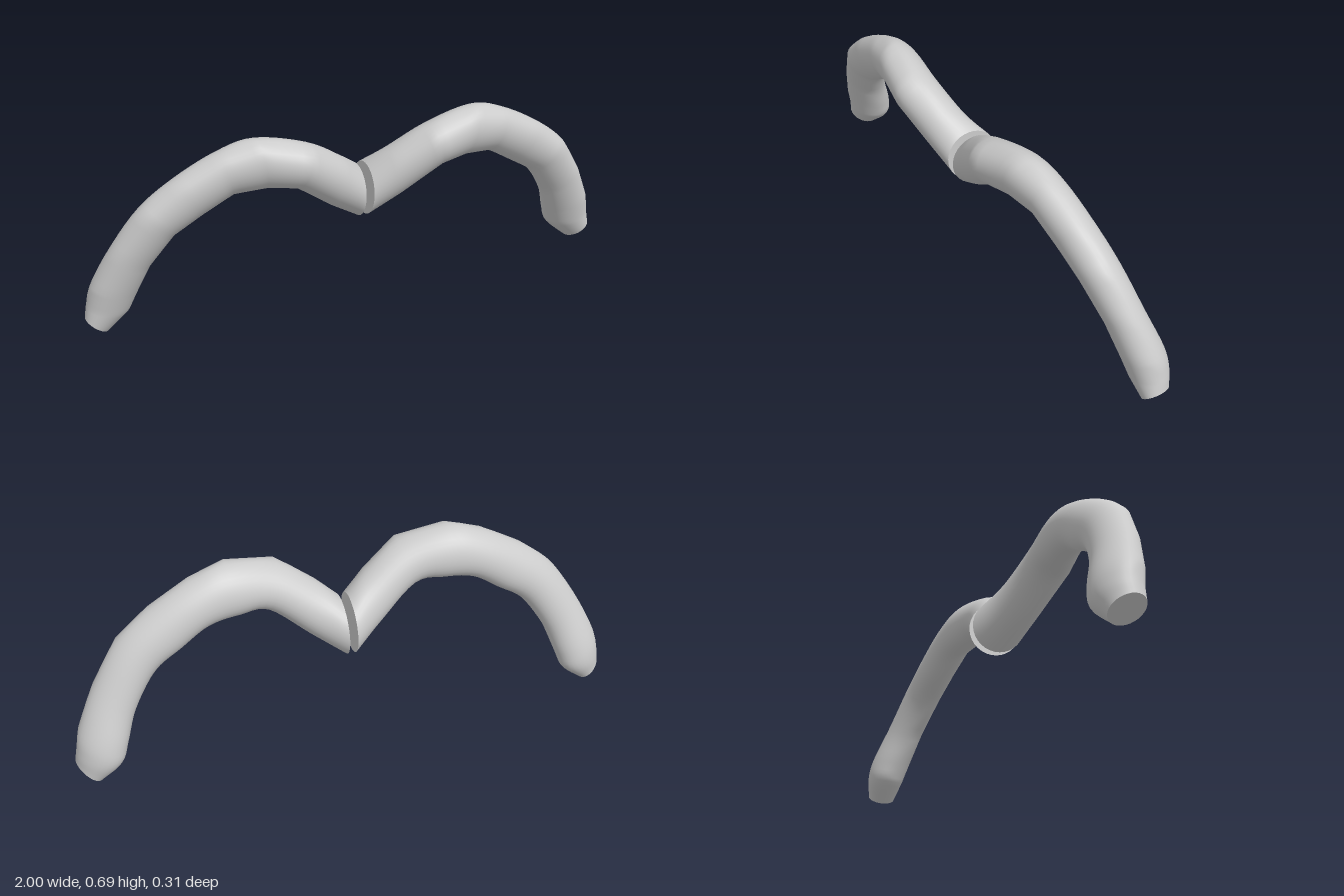
import * as THREE from 'three';

// Stations from inner to outer end:
// upper edge x, y, back z, lower edge x, y, front z
const STATIONS = [
  [0.015, 0.51, -0.12, 0.015, 0.305, 0.08],
  [0.09, 0.57, -0.065, 0.13, 0.385, 0.11],
  [0.22, 0.655, -0.025, 0.27, 0.495, 0.152],
  [0.40, 0.695, -0.035, 0.37, 0.505, 0.128],
  [0.53, 0.66, -0.045, 0.48, 0.495, 0.105],
  [0.68, 0.58, -0.058, 0.58, 0.435, 0.09],
  [0.80, 0.485, -0.072, 0.68, 0.37, 0.074],
  [0.90, 0.34, -0.105, 0.765, 0.25, 0.036],
  [0.97, 0.20, -0.147, 0.81, 0.14, 0.005],
  [0.99, 0.12, -0.157, 0.84, 0.07, -0.015],
  [1.0, 0.07, -0.137, 0.92, 0.0, -0.03],
];
const SIDES = 32;
const STEPS = 50;
const TILT = 0.015; // the upper edge leans forward

const upper = STATIONS.map((s) => new THREE.Vector3(s[0], s[1], s[2]));
const lower = STATIONS.map((s) => new THREE.Vector3(s[3], s[4], s[5]));
const upperCurve = new THREE.CatmullRomCurve3(upper, false, 'catmullrom', 0.5);
const lowerCurve = new THREE.CatmullRomCurve3(lower, false, 'catmullrom', 0.5);

// Straight interpolation between stations, for the faceted front
function straight(points, t) {
  const f = t * (points.length - 1);
  const i = Math.min(Math.floor(f), points.length - 2);
  return points[i].clone().lerp(points[i + 1], f - i);
}

// A point of the oval section spanned by the two edges
function sectionPoint(u, l, angle) {
  const c = Math.cos(angle);
  return new THREE.Vector3(
    (u.x + l.x) / 2 + (c * (u.x - l.x)) / 2,
    (u.y + l.y) / 2 + (c * (u.y - l.y)) / 2,
    (u.z + l.z) / 2 + (Math.sin(angle) * (l.z - u.z)) / 2 + TILT * c
  );
}

// One ring: smooth at the back, angular at the front
function ring(t) {
  const points = [];
  for (let j = 0; j < SIDES; j++) {
    const angle = (j / SIDES) * Math.PI * 2;
    const front = THREE.MathUtils.smoothstep(Math.sin(angle), -0.2, 0.5);
    const round = sectionPoint(upperCurve.getPoint(t), lowerCurve.getPoint(t), angle);
    const angular = sectionPoint(straight(upper, t), straight(lower, t), angle);
    points.push(round.lerp(angular, front));
  }
  return points;
}

function archGeometry(side) {
  const positions = [];
  const index = [];
  const add = (p) => positions.push(p.x * side, Math.max(p.y, 0), p.z) / 3 - 1;
  const face = (a, b, c) => (side > 0 ? index.push(a, b, c) : index.push(a, c, b));

  // Tubular skin
  for (let i = 0; i <= STEPS; i++) ring(i / STEPS).forEach(add);
  for (let i = 0; i < STEPS; i++) {
    for (let j = 0; j < SIDES; j++) {
      const k = (j + 1) % SIDES;
      const a = i * SIDES + j, c = i * SIDES + k;
      face(a, c, a + SIDES);
      face(c, c + SIDES, a + SIDES);
    }
  }

  // Flat end caps with their own vertices
  for (const t of [0, 1]) {
    const rim = ring(t);
    const middle = new THREE.Vector3();
    rim.forEach((p) => middle.addScaledVector(p, 1 / SIDES));
    const centre = add(middle);
    rim.forEach(add);
    for (let j = 0; j < SIDES; j++) {
      const a = centre + 1 + j, b = centre + 1 + ((j + 1) % SIDES);
      if (t === 0) face(centre, b, a);
      else face(centre, a, b);
    }
  }

  const geometry = new THREE.BufferGeometry();
  geometry.setAttribute('position', new THREE.Float32BufferAttribute(positions, 3));
  geometry.setIndex(index);
  geometry.computeVertexNormals();
  return geometry;
}

export function createModel() {
  const group = new THREE.Group();
  group.name = 'archedPair';
  const material = new THREE.MeshStandardMaterial({ color: 0xcccccc });
  for (const side of [1, -1]) {
    const arch = new THREE.Mesh(archGeometry(side), material);
    arch.name = side > 0 ? 'leftArch' : 'rightArch';
    group.add(arch);
  }
  return group;
}
